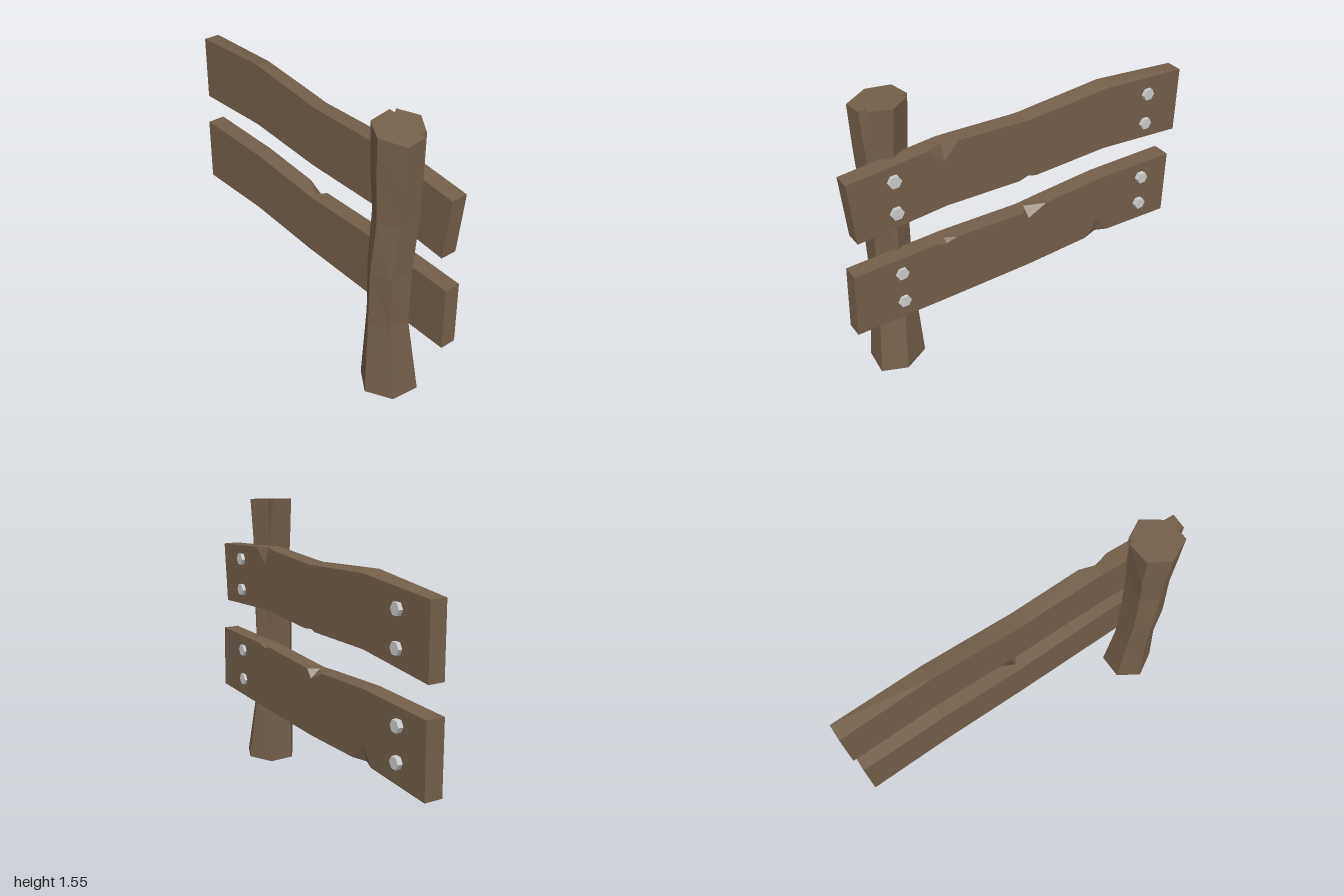
import * as THREE from 'three';

const wood = new THREE.MeshStandardMaterial({ color: 0x735f4b, flatShading: true });
const metal = new THREE.MeshStandardMaterial({ color: 0xcccccc, flatShading: true });

// Skins a list of equal-length rings of [x, y, z] points and caps both ends
function loft(rings) {
  const n = rings[0].length, pos = [];
  const tri = (...pts) => pts.forEach((p) => pos.push(...p));
  const centre = (ring) => [0, 1, 2].map((k) => ring.reduce((s, p) => s + p[k], 0) / n);
  const first = rings[0], last = rings[rings.length - 1];
  const c0 = centre(first), c1 = centre(last);
  for (let i = 0; i < n; i++) {
    const j = (i + 1) % n;
    for (let r = 0; r < rings.length - 1; r++) {
      const a = rings[r], b = rings[r + 1];
      tri(a[i], b[i], b[j]);
      tri(a[i], b[j], a[j]);
    }
    tri(c0, first[i], first[j]);
    tri(c1, last[j], last[i]);
  }
  const geo = new THREE.BufferGeometry();
  geo.setAttribute('position', new THREE.Float32BufferAttribute(pos, 3));
  geo.computeVertexNormals();
  return geo;
}

function addMesh(parent, name, geo, mat) {
  const mesh = new THREE.Mesh(geo, mat);
  mesh.name = name;
  parent.add(mesh);
  return mesh;
}

// Rough six-sided post: [y, six x/z corners]; two corners split open at the top
function makePost() {
  const levels = [
    [0, [[0.12, 0.735], [0.065, 0.865], [-0.085, 0.85], [-0.165, 0.72], [-0.09, 0.6], [0.05, 0.595]]],
    [0.46, [[0.07, 0.7], [0.015, 0.81], [-0.095, 0.8], [-0.15, 0.7], [-0.09, 0.62], [0.02, 0.615]]],
    [0.78, [[0.075, 0.71], [0.015, 0.805], [-0.11, 0.8], [-0.155, 0.7], [-0.1, 0.62], [0.02, 0.615]]],
    [1.08, [[0.07, 0.71], [0.03, 0.81], [-0.085, 0.81], [-0.14, 0.71], [-0.09, 0.62], [0.03, 0.615]]],
    [1.3, [[0.085, 0.7], [0.03, 0.81], [-0.087, 0.82], [-0.147, 0.7], [-0.095, 0.6], [0.035, 0.6]]],
    [1.53, [[0.105, 0.69], [0.03, 0.815], [-0.09, 0.825], [-0.155, 0.7], [-0.1, 0.59], [0.04, 0.575]]],
  ];
  const lerp = (a, b, t) => [a[0] + (b[0] - a[0]) * t, a[1] + (b[1] - a[1]) * t];
  const rings = levels.map(([y, pts], level) => {
    const top = level === levels.length - 1;
    const out = [];
    pts.forEach((p, i) => {
      if (i !== 1 && i !== 5) return out.push(p);
      const open = top ? (i === 1 ? 0.17 : 0.13) : 0;
      out.push(lerp(p, pts[i - 1], open), lerp(p, [-0.02, 0.7], open * 2), lerp(p, pts[(i + 1) % 6], open));
    });
    // The top is cut on a slant
    return out.map(([x, z]) => [x, top ? 1.525 + 0.1 * (0.825 - z) + 0.05 * x : y, z]);
  });
  return loft(rings);
}

// Warped board: stations of [zBottom, zTop, yBottom, yTop, bottom chip height, depth, top chip height, depth]
function makeBoard(stations, inner, outer) {
  return loft(stations.map(([zb, zt, b, t, hb = 0, cb = 0, ht = 0, ct = 0]) => {
    const k = (1 - zb) / 2;
    const xi = inner[0] + (inner[1] - inner[0]) * k;
    const xo = outer[0] + (outer[1] - outer[0]) * k;
    return [[xo - cb, b, zb], [xo, b + hb, zb], [xo, t - ht, zt], [xo - ct, t, zt], [xi, t, zt], [xi, b, zb]];
  }));
}

export function createModel() {
  const model = new THREE.Group();
  model.name = 'fenceSection';
  addMesh(model, 'post', makePost(), wood);

  const upper = [
    [0.945, 0.97, 0.93, 1.265],
    [0.56, 0.56, 0.95, 1.293],
    [0.47, 0.47, 0.955, 1.3, 0, 0, 0.09, 0.025],
    [0.39, 0.39, 0.951, 1.297],
    [0.04, 0.04, 0.932, 1.277, 0, 0, 0.005, 0.08],
    [-0.01, -0.01, 0.93, 1.276, 0.016, 0.04, 0.008, 0.085],
    [-0.06, -0.06, 0.93, 1.28, 0, 0, 0.008, 0.085],
    [-0.5, -0.5, 0.935, 1.308, 0, 0, 0.014, 0.085],
    [-1, -1, 0.885, 1.255],
  ];
  const lower = [
    [1, 0.985, 0.4, 0.755],
    [0.54, 0.54, 0.382, 0.75],
    [0.48, 0.48, 0.38, 0.75, 0, 0, 0.018, 0.03],
    [0.42, 0.42, 0.378, 0.747],
    [0.015, 0.015, 0.366, 0.721],
    [-0.02, -0.02, 0.365, 0.721, 0, 0, 0.045, 0.055],
    [-0.13, -0.13, 0.366, 0.727],
    [-0.41, -0.41, 0.369, 0.737],
    [-0.5, -0.5, 0.37, 0.74, 0.1, 0.025],
    [-0.57, -0.57, 0.365, 0.737],
    [-0.985, -0.985, 0.335, 0.72],
  ];
  addMesh(model, 'upperBoard', makeBoard(upper, [0.053, 0.05], [0.14, 0.138]), wood);
  addMesh(model, 'lowerBoard', makeBoard(lower, [0.062, 0.03], [0.147, 0.13]), wood);

  // Hexagonal bolt heads on the outer face: [y, z]
  const boltGeo = new THREE.CylinderGeometry(0.034, 0.034, 0.06, 6).rotateZ(-Math.PI / 2);
  const bolts = [
    [1.203, 0.737], [1.027, 0.737], [1.178, -0.775], [1, -0.775],
    [0.667, 0.737], [0.492, 0.737], [0.642, -0.787], [0.466, -0.787],
  ];
  for (const [y, z] of bolts) addMesh(model, 'bolt', boltGeo, metal).position.set(0.13, y, z);
  return model;
}
